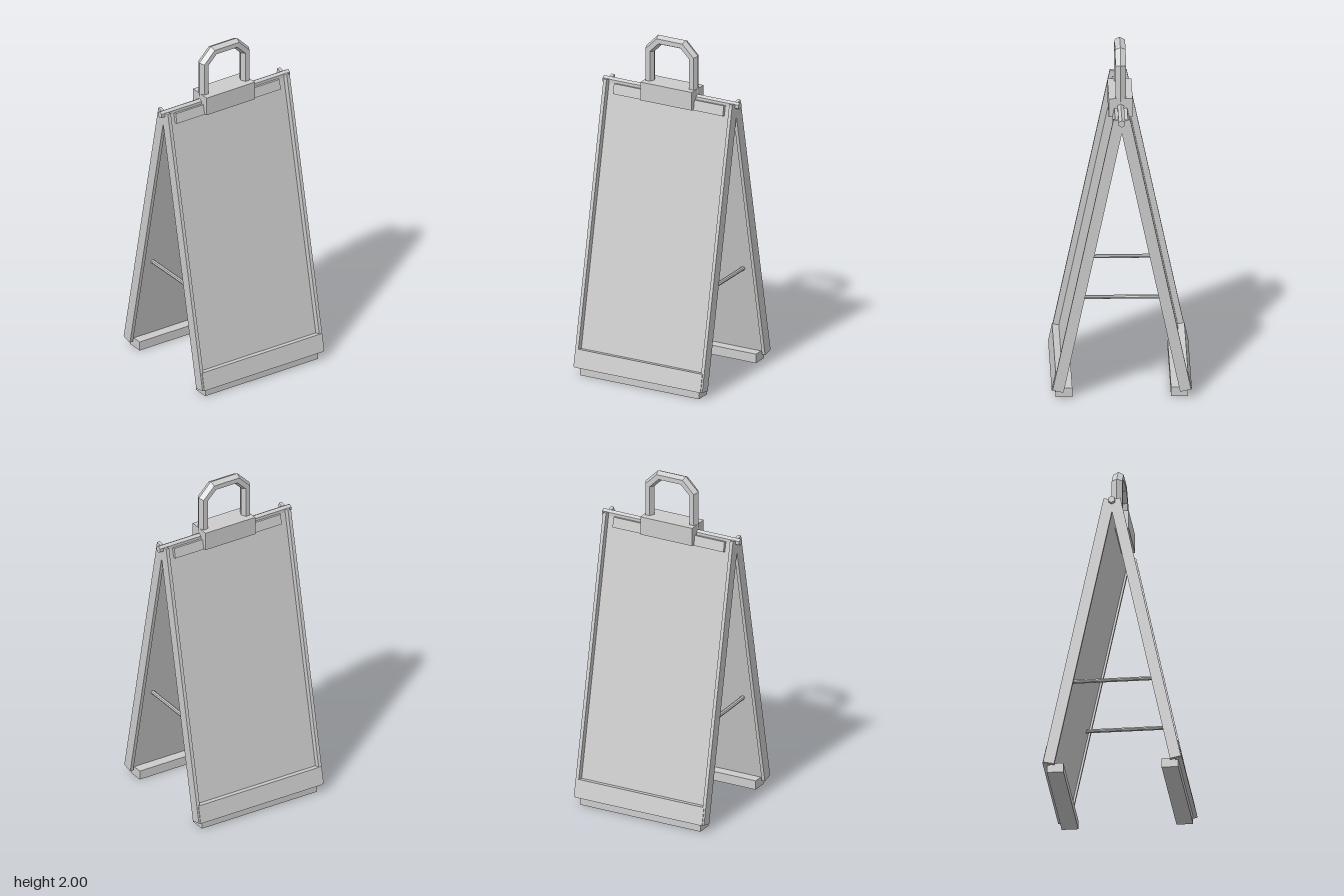
import * as THREE from 'three';

const paint = new THREE.MeshStandardMaterial({ color: 0xcccccc });
paint.name = 'light grey';

function add(parent, name, geometry, x = 0, y = 0, z = 0) {
  const mesh = new THREE.Mesh(geometry, paint);
  mesh.name = name;
  mesh.position.set(x, y, z);
  parent.add(mesh);
  return mesh;
}

// Box given by its limits on each axis
function box(parent, name, [x0, x1], [y0, y1], [z0, z1]) {
  return add(parent, name, new THREE.BoxGeometry(x1 - x0, y1 - y0, z1 - z0),
    (x0 + x1) / 2, (y0 + y1) / 2, (z0 + z1) / 2);
}

// Hexagonal section swept with mitred corners along a path in the xy plane
function handleGeometry() {
  const path = [[0.142, 1.70], [0.142, 1.907], [0.078, 1.972],
    [-0.078, 1.972], [-0.142, 1.907], [-0.142, 1.70]].map(p => new THREE.Vector2(...p));
  const section = [[0.028, 0], [0.014, 0.03], [-0.014, 0.03],
    [-0.028, 0], [-0.014, -0.03], [0.014, -0.03]];
  const outward = (a, b) => {
    const t = b.clone().sub(a).normalize();
    return new THREE.Vector2(t.y, -t.x);
  };
  const positions = [], index = [], k = section.length;
  path.forEach((p, i) => {
    const before = outward(path[Math.max(i - 1, 0)], path[Math.max(i, 1)]);
    const after = outward(path[Math.min(i, path.length - 2)], path[Math.min(i + 1, path.length - 1)]);
    const miter = before.clone().add(after).normalize();
    miter.divideScalar(miter.dot(before));
    for (const [n, z] of section) positions.push(p.x + miter.x * n, p.y + miter.y * n, z);
  });
  for (let i = 0; i < path.length - 1; i++) {
    for (let j = 0; j < k; j++) {
      const a = i * k + j, b = i * k + (j + 1) % k;
      index.push(a, a + k, b + k, a, b + k, b);
    }
  }
  const indexed = new THREE.BufferGeometry();
  indexed.setAttribute('position', new THREE.Float32BufferAttribute(positions, 3));
  indexed.setIndex(index);
  const geometry = indexed.toNonIndexed();
  geometry.computeVertexNormals();
  return geometry;
}

// One leaning board with its rails, kick plate, clip bar and foot
function createBoard() {
  const board = new THREE.Group();
  const leaf = new THREE.Group();
  leaf.name = 'leaningLeaf';
  leaf.position.set(0, 1.6, 0.033);
  leaf.rotation.x = -THREE.MathUtils.degToRad(11.95);
  board.add(leaf);

  box(leaf, 'panel', [-0.4, 0.4], [-1.58, 0.075], [-0.02, -0.003]);
  for (const s of [-1, 1]) {
    const rail = box(leaf, 'sideRail', [0.4, 0.42], [-1.589, 0.08], [-0.032, 0.032]);
    rail.position.x *= s;
  }
  box(leaf, 'kickPlate', [-0.41, 0.41], [-1.592, -1.484], [-0.003, 0.036]);
  box(leaf, 'clipBar', [-0.358, 0.358], [0.002, 0.062], [-0.003, 0.0165]);
  box(board, 'foot', [-0.388, 0.388], [0, 0.055], [0.28, 0.375]);
  return board;
}

export function createModel() {
  const model = new THREE.Group();
  model.name = 'foldingSignStand';

  // Front and back boards
  const front = createBoard();
  front.name = 'frontBoard';
  const back = createBoard();
  back.name = 'backBoard';
  back.rotation.y = Math.PI;
  model.add(front, back);

  // Hinge axle across the top
  add(model, 'hingeAxle', new THREE.CylinderGeometry(0.021, 0.021, 0.885, 6, 1, false, Math.PI / 2)
    .toNonIndexed(), 0, 1.667, 0).rotation.z = Math.PI / 2;
  model.getObjectByName('hingeAxle').geometry.computeVertexNormals();

  // Spreader rods between the boards
  for (const x of [-0.335, 0.335]) {
    const rod = new THREE.CylinderGeometry(0.012, 0.012, 0.46, 8).toNonIndexed();
    rod.computeVertexNormals();
    add(model, 'spreaderRod', rod, x, 0.585, 0).rotation.x = Math.PI / 2;
  }

  // Carrying handle on its block
  box(model, 'handleBlock', [-0.167, 0.167], [1.61, 1.72], [-0.068, 0.068]);
  add(model, 'handle', handleGeometry());
  return model;
}
